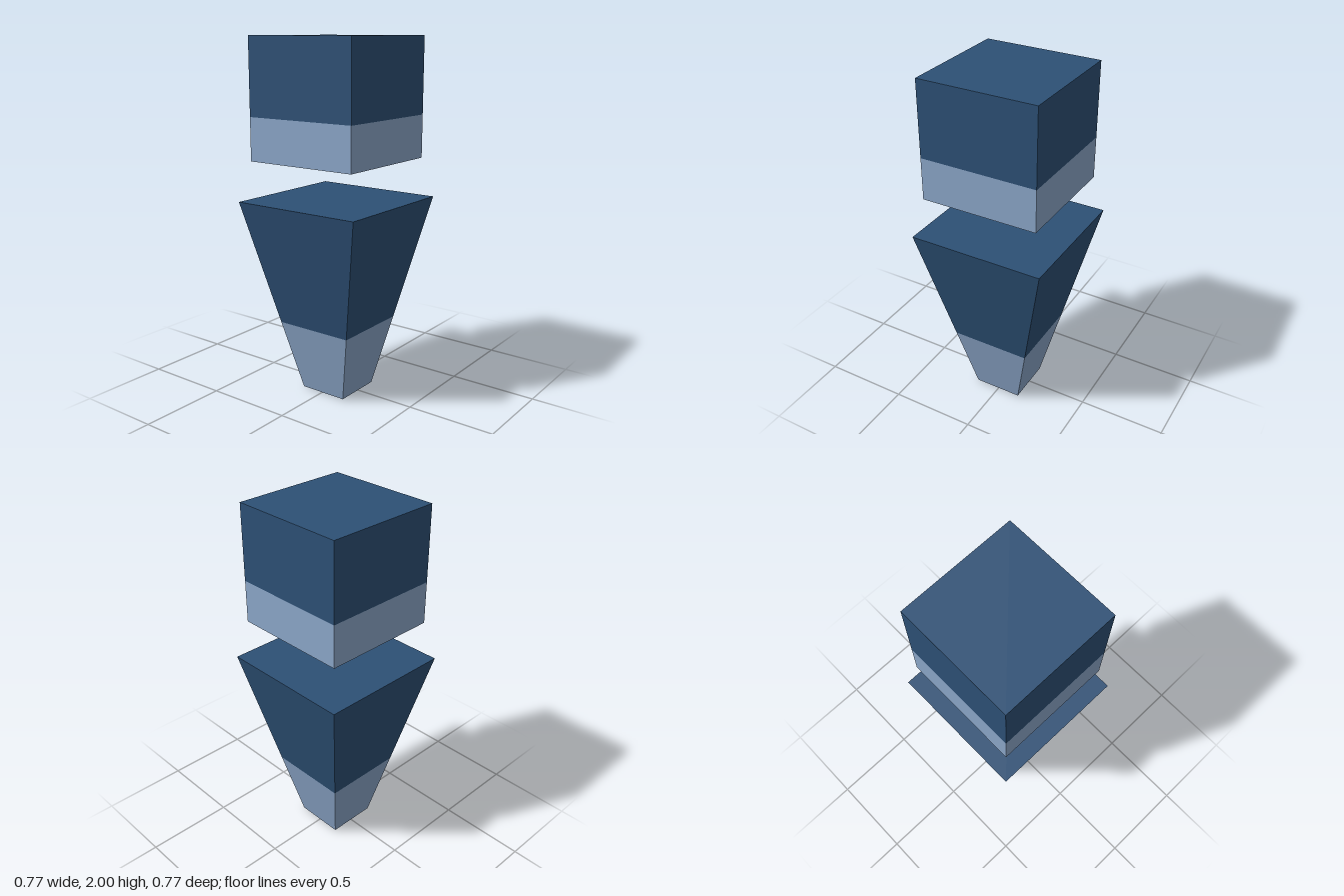
import * as THREE from 'three';

// Square cross-section: height y, half width, and sideways shift of its centre (x and z)
const ring = (y, half, shift = 0) => ({ y, half, shift });

function mix(a, b, y) {
  const t = (y - a.y) / (b.y - a.y);
  return ring(y, THREE.MathUtils.lerp(a.half, b.half, t), THREE.MathUtils.lerp(a.shift, b.shift, t));
}

// Box stretched between two rings, without the cap on its hidden side
function band(name, low, high, hiddenCap, material) {
  const box = new THREE.BoxGeometry(2, 2, 2);
  const skip = hiddenCap === 'top' ? 2 : 3; // box sides: +x -x +y -y +z -z
  box.setIndex(Array.from(box.index.array).filter((_, i) => Math.floor(i / 6) !== skip));
  box.clearGroups();
  const geometry = box.toNonIndexed();
  const p = geometry.attributes.position;
  for (let i = 0; i < p.count; i++) {
    const r = p.getY(i) > 0 ? high : low;
    p.setXYZ(i, p.getX(i) * r.half + r.shift, r.y, p.getZ(i) * r.half + r.shift);
  }
  geometry.computeVertexNormals();
  const mesh = new THREE.Mesh(geometry, material);
  mesh.name = name;
  return mesh;
}

// Two-coloured block, pale below the split height and dark above
function block(name, low, high, split, pale, dark) {
  const middle = mix(low, high, split);
  const group = new THREE.Group();
  group.name = name;
  group.add(
    band(name + 'LowerBand', low, middle, 'top', pale),
    band(name + 'UpperBand', middle, high, 'bottom', dark)
  );
  return group;
}

export function createModel() {
  const dark = new THREE.MeshStandardMaterial({ color: 0x2d5075 });
  dark.name = 'dark blue';
  const pale = new THREE.MeshStandardMaterial({ color: 0x8ba6c8 });
  pale.name = 'pale blue';

  const model = new THREE.Group();
  model.name = 'floatingCubeOverTaperedBody';
  model.add(
    // Tapered body, with its foot slightly off centre
    block('body', ring(0, 0.141, 0.006), ring(1.11, 0.386), 0.404, pale, dark),
    // Cube floating above
    block('head', ring(1.333, 0.335), ring(2, 0.335), 1.573, pale, dark)
  );
  return model;
}
